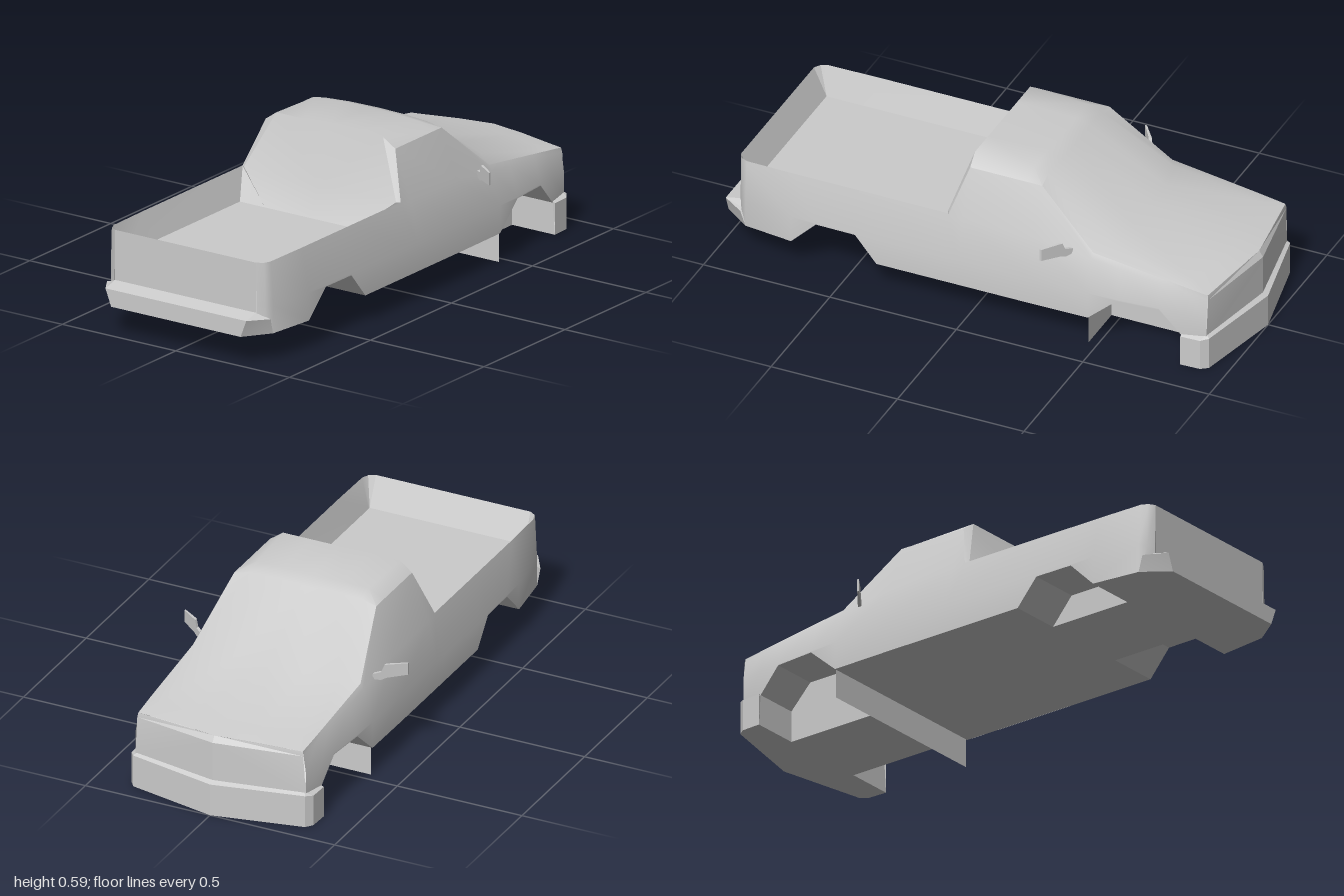
import * as THREE from 'three';
import { mergeGeometries, toCreasedNormals } from 'three/addons/utils/BufferGeometryUtils.js';

const material = new THREE.MeshStandardMaterial({ color: 0xcccccc, side: THREE.DoubleSide });

// Lofts rows of [x, y, z] points on the +x half; side = -1 gives the mirrored half.
function halfSheet(rows, side) {
  const cols = rows[0].length, index = [];
  for (let i = 0; i < rows.length - 1; i++) {
    for (let j = 0; j < cols - 1; j++) {
      const a = i * cols + j, b = a + 1, d = a + cols, c = d + 1;
      if (side > 0) index.push(a, b, c, a, c, d);
      else index.push(a, c, b, a, d, c);
    }
  }
  const points = rows.flat().map(([x, y, z]) => [x * side, y, z]);
  const geometry = new THREE.BufferGeometry();
  geometry.setAttribute('position', new THREE.Float32BufferAttribute(points.flat(), 3));
  geometry.setIndex(index);
  return geometry;
}

function sheet(name, rows, crease = 0.5) {
  const both = mergeGeometries([halfSheet(rows, 1), halfSheet(rows, -1)]);
  const mesh = new THREE.Mesh(toCreasedNormals(both, crease), material);
  mesh.name = name;
  return mesh;
}

// Wheel arch outlines as [z, y], from the tailgate towards the hood
const rearArch = [[0.71, 0.11], [0.61, 0.21], [0.455, 0.21], [0.37, 0.11]];
const frontArch = [[-0.465, 0.11], [-0.578, 0.21], [-0.738, 0.21], [-0.824, 0.12]];
const WELL = 0.18, FLOOR = 0.27;

export function createModel() {
  const truck = new THREE.Group();
  truck.name = 'pickupBody';

  // Side panels: z, top x, top y, belt x, belt y, lower x, bottom y
  const sides = [
    [0.94, 0.31, 0.38, 0.31, 0.37, 0.312, 0.18],
    [0.925, 0.334, 0.38, 0.336, 0.37, 0.34, 0.17],
    [0.9, 0.345, 0.38, 0.347, 0.37, 0.357, 0.11],
    [0.71, 0.348, 0.38, 0.35, 0.37, 0.38, 0.11],
    [0.61, 0.348, 0.38, 0.35, 0.37, 0.382, 0.21],
    [0.455, 0.348, 0.38, 0.35, 0.37, 0.384, 0.21],
    [0.37, 0.348, 0.38, 0.35, 0.37, 0.385, 0.11],
    [0.1, 0.348, 0.38, 0.35, 0.37, 0.385, 0.11],
    [0.045, 0.285, 0.555, 0.351, 0.375, 0.385, 0.11],
    [-0.24, 0.285, 0.555, 0.352, 0.37, 0.385, 0.11],
    [-0.465, 0.335, 0.36, 0.346, 0.34, 0.383, 0.11],
    [-0.578, 0.334, 0.345, 0.345, 0.325, 0.379, 0.21],
    [-0.738, 0.333, 0.323, 0.342, 0.305, 0.366, 0.21],
    [-0.824, 0.332, 0.311, 0.338, 0.295, 0.358, 0.12],
    [-0.915, 0.33, 0.298, 0.333, 0.28, 0.342, 0.125],
  ];
  truck.add(sheet('sidePanels', sides.map(([z, tx, ty, bx, by, lx, low]) =>
    [[tx, ty, z], [bx, by, z], [lx, 0.215, z], [lx, low, z]]), 0.7));

  // Roof, windshield and hood in one smooth run
  truck.add(sheet('roofAndHood', [
    [[0, 0.59, 0.05], [0.12, 0.59, 0.05], [0.235, 0.59, 0.05], [0.285, 0.555, 0.045]],
    [[0, 0.59, -0.19], [0.12, 0.59, -0.185], [0.225, 0.585, -0.18], [0.285, 0.555, -0.18]],
    [[0, 0.573, -0.245], [0.12, 0.573, -0.24], [0.225, 0.568, -0.235], [0.285, 0.555, -0.24]],
    [[0, 0.388, -0.54], [0.14, 0.387, -0.53], [0.27, 0.382, -0.5], [0.335, 0.36, -0.465]],
    [[0, 0.323, -0.89], [0.14, 0.322, -0.87], [0.28, 0.315, -0.84], [0.332, 0.311, -0.824]],
    [[0, 0.308, -0.965], [0.14, 0.306, -0.945], [0.28, 0.3, -0.922], [0.33, 0.298, -0.915]],
  ], 0.7));

  // Cab back wall, down to the bed floor
  truck.add(sheet('cabBack', [
    [[0, FLOOR, 0.17], [0.2, FLOOR, 0.17], [0.31, FLOOR, 0.17]],
    [[0, 0.38, 0.115], [0.335, 0.38, 0.11], [0.348, 0.38, 0.1]],
    [[0, 0.59, 0.05], [0.235, 0.59, 0.05], [0.285, 0.555, 0.045]],
  ], 0.3));

  // Bed
  truck.add(sheet('bedFloor', [0.89, 0.17].map((z) => [[0, FLOOR, z], [0.31, FLOOR, z]])));
  truck.add(sheet('bedWalls', [
    [[0.348, 0.38, 0.1], [0.31, FLOOR, 0.17]],
    [[0.348, 0.38, 0.71], [0.31, FLOOR, 0.71]],
    [[0.345, 0.38, 0.9], [0.31, FLOOR, 0.88]],
    [[0.334, 0.38, 0.925], [0.31, FLOOR, 0.89]],
    [[0.31, 0.38, 0.94], [0.31, FLOOR, 0.89]],
    [[0, 0.38, 0.94], [0, FLOOR, 0.89]],
  ]));
  truck.add(sheet('tailgate', [0.18, 0.38].map((y) => [[0, y, 0.94], [0.31, y, 0.94]])));

  // Bumpers and grille
  truck.add(sheet('rearBumper', [
    [[0, 0.11, 1], [0.285, 0.11, 1], [0.357, 0.11, 0.9]],
    [[0, 0.175, 1], [0.31, 0.175, 1], [0.36, 0.17, 0.92]],
    [[0, 0.19, 0.94], [0.31, 0.19, 0.94], [0.342, 0.175, 0.922]],
  ], 0.2));
  truck.add(sheet('grille', [
    [[0, 0.308, -0.965], [0.33, 0.298, -0.915]],
    [[0, 0.285, -0.98], [0.333, 0.28, -0.918]],
    [[0, 0.13, -0.98], [0.342, 0.125, -0.915]],
  ], 0.2));
  truck.add(sheet('frontBumper', [
    [[0, 0.135, -0.978], [0.335, 0.135, -0.913], [0.342, 0.13, -0.9], [0.356, 0.125, -0.824]],
    [[0, 0.125, -1], [0.345, 0.125, -0.927], [0.365, 0.12, -0.9], [0.368, 0.12, -0.824]],
    [[0, 0, -1], [0.345, 0, -0.927], [0.365, 0, -0.9], [0.368, 0, -0.824]],
  ], 0.3));

  // Underside, narrowed between the wheel wells; it steps down ahead of the cab
  const belly = (name, y, outline) =>
    truck.add(sheet(name, outline.map(([x, z, zc = z]) => [[0, y, zc], [x, y, z]])));
  belly('rearUnderside', 0.11, [[0.383, -0.465], [0.385, 0.37], [WELL, 0.37], [WELL, 0.71],
    [0.38, 0.71], [0.357, 0.9], [0.285, 1]]);
  belly('frontUnderside', 0, [[0.345, -0.927, -1], [0.365, -0.9], [0.368, -0.824],
    [WELL, -0.824], [WELL, -0.465]]);
  truck.add(sheet('undersideStep', [0, 0.11].map((y) => [[0, y, -0.465], [0.377, y, -0.465]])));

  // Wheel wells
  const outerX = (z) => sides.find((s) => s[0] === z)[5];
  for (const [name, arch, bottom] of [['rear', rearArch, 0.11], ['front', frontArch, 0]]) {
    const liner = arch.map(([z, y]) => [[outerX(z), y, z], [WELL, y, z]]);
    if (bottom === 0) liner.push([[0.368, 0, -0.824], [WELL, 0, -0.824]]);
    truck.add(sheet(name + 'WellLiner', liner, 0.2));
    truck.add(sheet(name + 'WellWall', arch.map(([z, y]) => [[WELL, y, z], [WELL, bottom, z]])));
  }

  // Door mirrors: thin blades swept along z
  const outline = [[0.345, 0.345], [0.37, 0.338], [0.385, 0.345], [0.448, 0.35], [0.448, 0.397],
    [0.38, 0.398], [0.37, 0.37], [0.345, 0.365]];
  for (const side of [1, -1]) {
    const shape = new THREE.Shape(outline.map(([x, y]) => new THREE.Vector2(x * side, y)));
    const blade = new THREE.ExtrudeGeometry(shape, { depth: 0.016, bevelEnabled: false });
    const p = blade.attributes.position;
    for (let i = 0; i < p.count; i++) {
      const out = Math.abs(p.getX(i)) - 0.345;
      p.setZ(i, p.getZ(i) * (1 - out * 5) - 0.39 + out * 0.75);
    }
    blade.computeVertexNormals();
    const mirror = new THREE.Mesh(blade, material);
    mirror.name = side > 0 ? 'leftMirror' : 'rightMirror';
    truck.add(mirror);
  }
  return truck;
}
